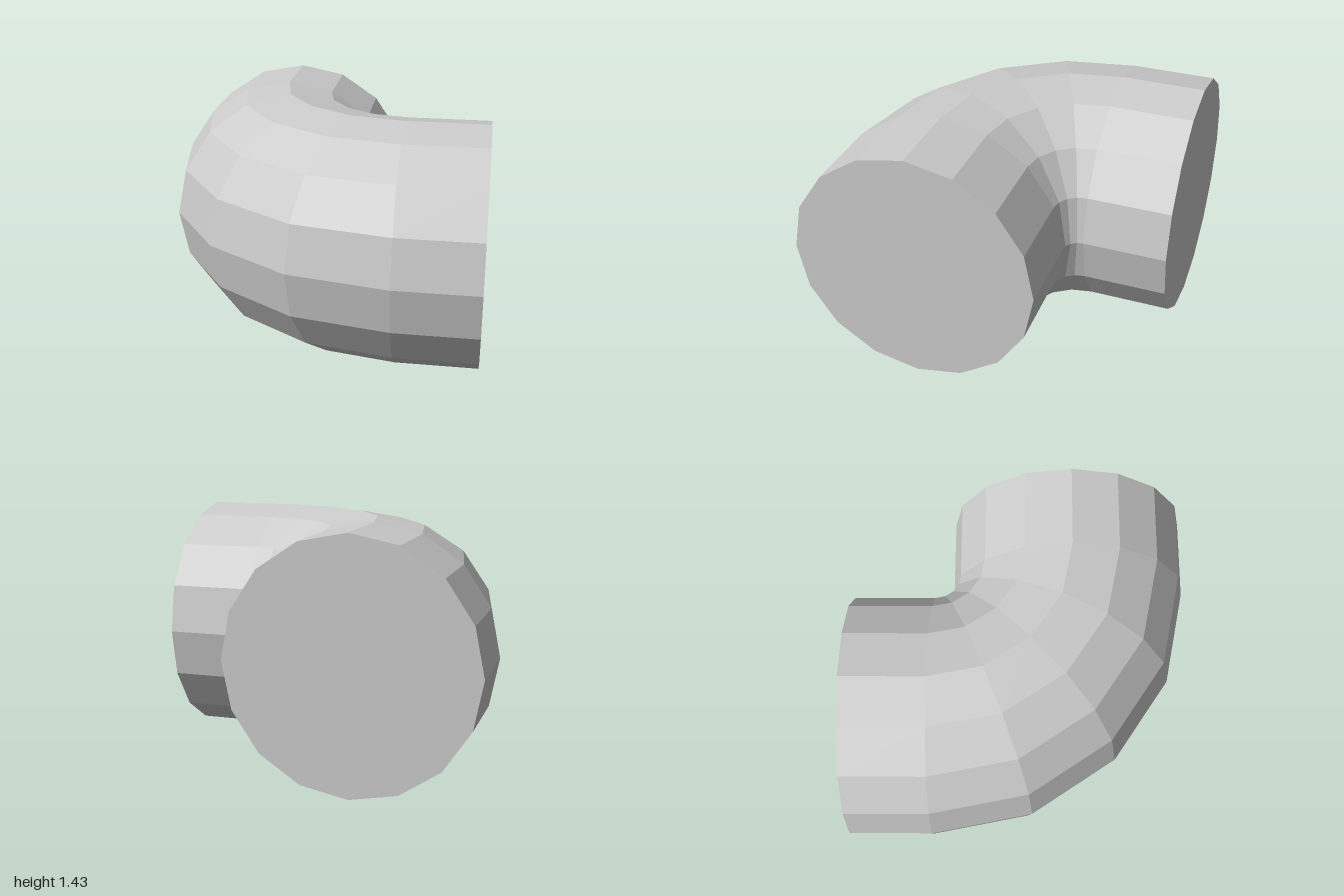
import * as THREE from 'three';

const SIDES = 16, BEND_STEPS = 4;
const TUBE = 0.713;   // pipe radius
const BEND = 0.807;   // bend centreline radius
const PIVOT = 0.52;   // bend axis stands at x = PIVOT, z = -PIVOT

// One cross-section of the pipe, turned by angle a about the bend axis and shifted along a straight run
function ring(a, dx = 0, dz = 0) {
  return Array.from({ length: SIDES }, (_, j) => {
    const t = (j / SIDES) * Math.PI * 2;
    const d = BEND + TUBE * Math.cos(t);
    return [PIVOT - d * Math.cos(a) + dx, TUBE + TUBE * Math.sin(t), -PIVOT + d * Math.sin(a) + dz];
  });
}

// Skin a series of rings with flat quads
function loft(rings) {
  const index = [];
  for (let i = 0; i < rings.length - 1; i++) {
    for (let j = 0; j < SIDES; j++) {
      const k = (j + 1) % SIDES;
      const a = i * SIDES + j, b = a + SIDES, c = (i + 1) * SIDES + k, d = i * SIDES + k;
      index.push(a, b, c, a, c, d);
    }
  }
  return build(rings.flat(), index);
}

function build(points, index) {
  const g = new THREE.BufferGeometry();
  g.setAttribute('position', new THREE.Float32BufferAttribute(points.flat(), 3));
  g.setIndex(index);
  const flat = g.toNonIndexed();
  flat.computeVertexNormals();
  return flat;
}

// Flat disc closing a ring
function cap(points, flip) {
  const index = [];
  for (let j = 1; j < SIDES - 1; j++) index.push(0, ...(flip ? [j + 1, j] : [j, j + 1]));
  return build(points, index);
}

export function createModel() {
  const group = new THREE.Group();
  group.name = 'pipeElbow';
  const material = new THREE.MeshStandardMaterial({ color: 0xcccccc, flatShading: true });
  const add = (name, geometry) => {
    const mesh = new THREE.Mesh(geometry, material);
    mesh.name = name;
    group.add(mesh);
  };

  const run = 1 - PIVOT;
  const bend = Array.from({ length: BEND_STEPS + 1 }, (_, i) => ring((i / BEND_STEPS) * Math.PI / 2));
  const backEnd = ring(0, 0, -run);
  const leftEnd = ring(Math.PI / 2, run, 0);

  // Quarter bend with a straight run at each end
  add('backRun', loft([backEnd, bend[0]]));
  add('bend', loft(bend));
  add('leftRun', loft([bend[BEND_STEPS], leftEnd]));

  // End faces
  add('backCap', cap(backEnd, false));
  add('leftCap', cap(leftEnd, true));
  return group;
}
